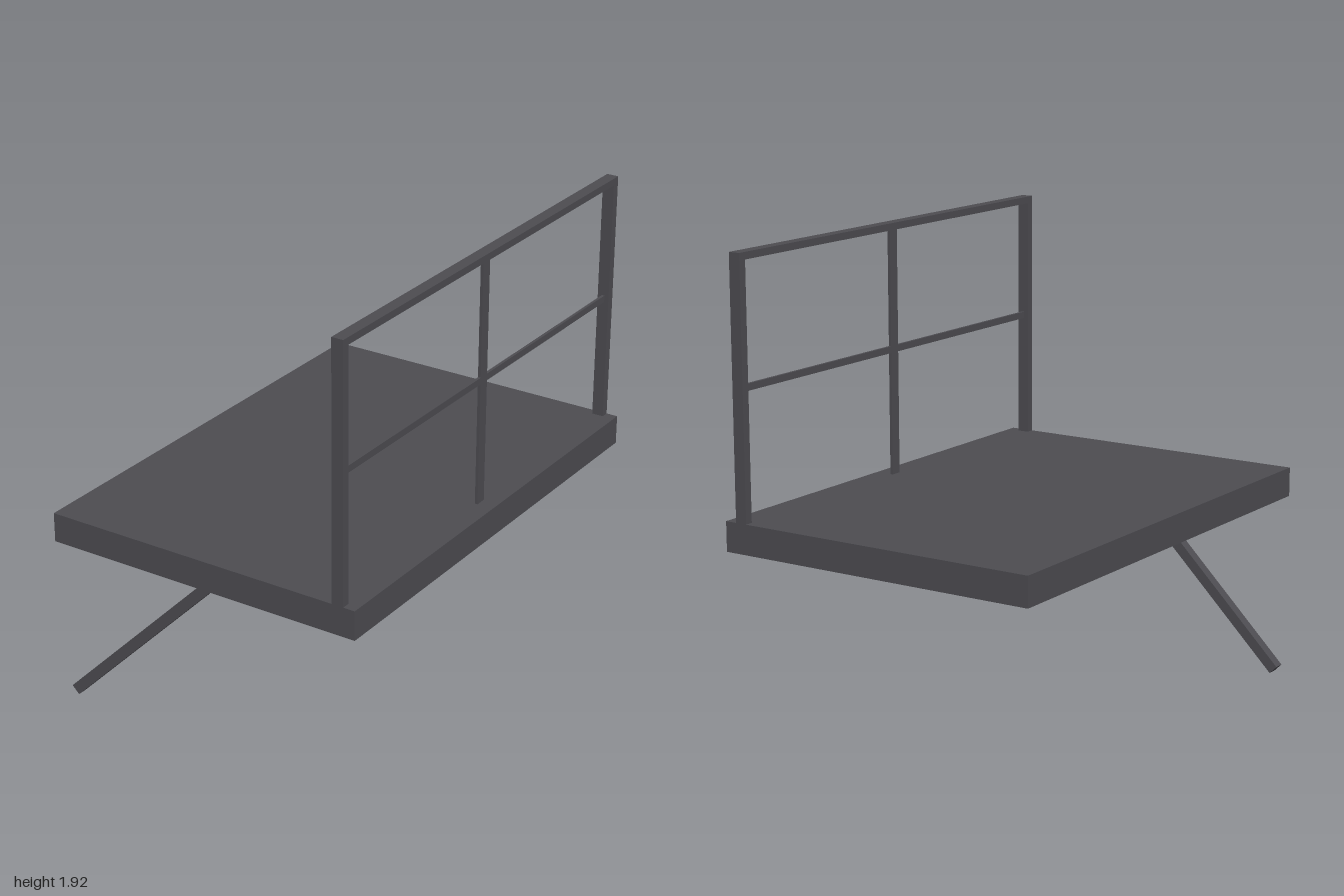
import * as THREE from 'three';

export function createModel() {
  const group = new THREE.Group();
  const steel = new THREE.MeshStandardMaterial({ color: 0x4d4c51 });
  steel.name = 'dark grey steel';

  // Box given by its minimum and maximum corners
  function block(name, [x0, y0, z0], [x1, y1, z1]) {
    const mesh = new THREE.Mesh(new THREE.BoxGeometry(x1 - x0, y1 - y0, z1 - z0), steel);
    mesh.position.set((x0 + x1) / 2, (y0 + y1) / 2, (z0 + z1) / 2);
    mesh.name = name;
    group.add(mesh);
    return mesh;
  }

  const deckBottom = 0.745, deckTop = 0.868, railBottom = 1.893, railTop = 1.922;
  const postIn = 0.615, postOut = 0.665, postDepth = 0.034;
  const railX = (postIn + postOut) / 2, thin = 0.006;

  // Platform slab
  block('deck', [-0.685, deckBottom, -1], [0.715, deckTop, 1]);

  // Railing along the left edge: end posts, top rail and thin infill bars
  block('frontPost', [postIn, deckTop, 1 - postDepth], [postOut, railBottom, 1]);
  block('backPost', [postIn, deckTop, -1], [postOut, railBottom, -1 + postDepth]);
  block('topRail', [postIn, railBottom, -1], [postOut, railTop, 1]);
  block('middlePost', [railX - thin, deckTop, -0.024], [railX + thin, railBottom, 0.024]);
  for (const side of [-1, 1]) {
    const z = [side * 0.024, side * (1 - postDepth)].sort((a, b) => a - b);
    block('middleRail', [railX - thin, 1.382, z[0]], [railX + thin, 1.41, z[1]]);
  }

  // Single diagonal brace, its upper end let into the deck
  const size = 0.045, lower = new THREE.Vector2(-0.703, 0.016), length = 1.07;
  const brace = new THREE.Mesh(new THREE.BoxGeometry(length, size, size), steel);
  const half = (length / 2) * Math.SQRT1_2;
  brace.position.set(lower.x + half, lower.y + half, 0.88);
  brace.rotation.z = Math.PI / 4;
  brace.name = 'diagonalBrace';
  group.add(brace);

  return group;
}
